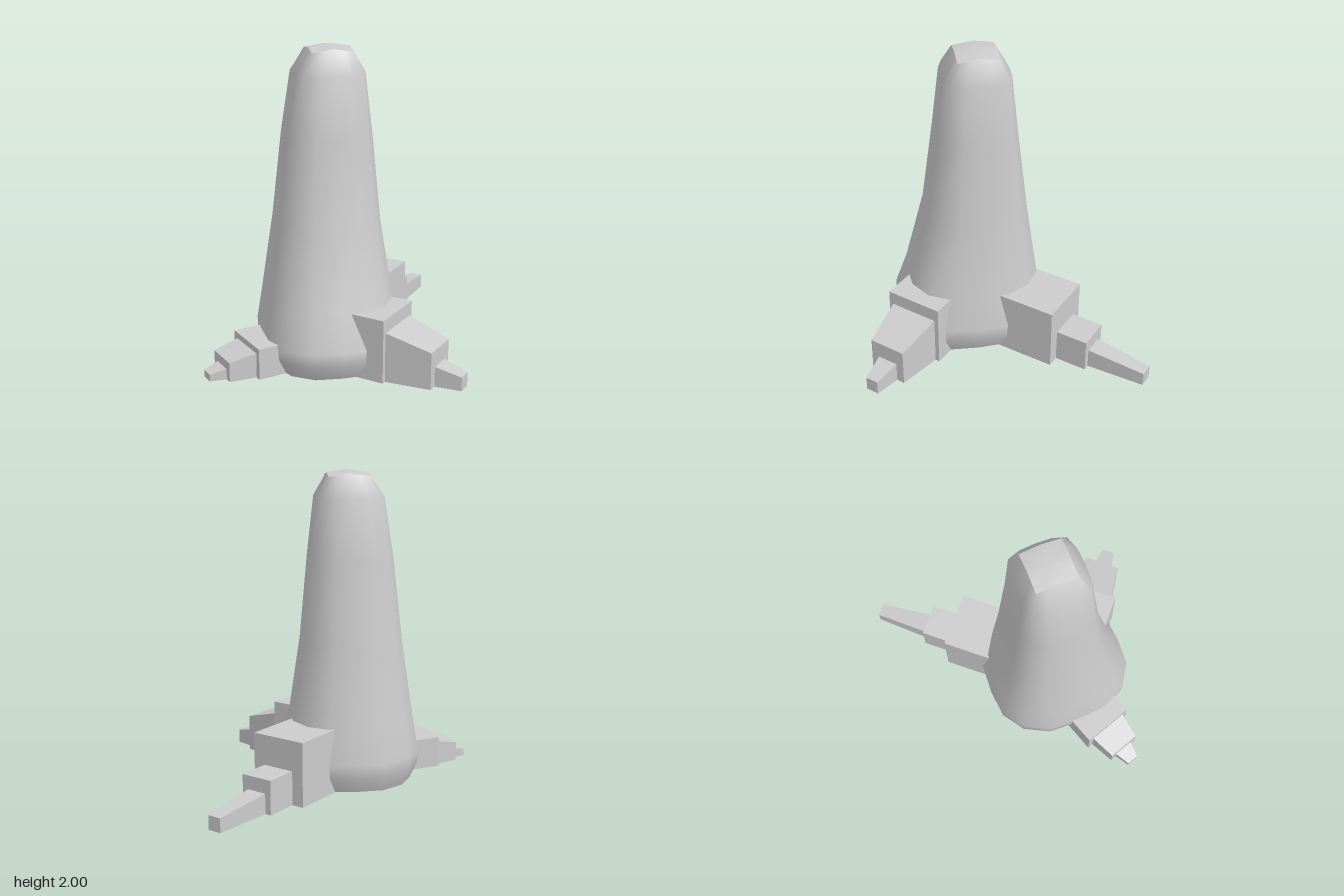
import * as THREE from 'three';

const material = new THREE.MeshStandardMaterial({ color: 0xcccccc });

// One eighth of a ring, as a rounded outline and as a square one
const ROUND = [[1, 0], [0.97, 0.43], [0.77, 0.77], [0.43, 0.97]];
const SQUARE = [[1, 0], [1, 0.5], [1, 1], [0.5, 1]];
const SIDES = 16;

// Trunk rings: y, min x, max x, min z, max z, squareness, drop at corners
const RINGS = [
  [0, -0.44, 0.34, -0.31, 0.56, 0, 0],
  [0.1, -0.485, 0.385, -0.355, 0.61, 0, 0],
  [0.19, -0.49, 0.39, -0.36, 0.615, 0, 0],
  [0.41, -0.455, 0.345, -0.315, 0.535, 0, 0],
  [0.9, -0.38, 0.275, -0.245, 0.41, 0.05, 0],
  [1.45, -0.32, 0.225, -0.18, 0.335, 0.12, 0],
  [1.83, -0.26, 0.18, -0.14, 0.29, 0.35, 0],
  [1.98, -0.16, 0.1, -0.06, 0.2, 1, 0.02],
];

function ringPoints([y, x0, x1, z0, z1, square, drop]) {
  const points = [];
  for (let i = 0; i < SIDES; i++) {
    const k = i % 4;
    let u = THREE.MathUtils.lerp(ROUND[k][0], SQUARE[k][0], square);
    let v = THREE.MathUtils.lerp(ROUND[k][1], SQUARE[k][1], square);
    for (let q = 0; q < Math.floor(i / 4); q++) [u, v] = [-v, u];
    const corner = Math.min(Math.abs(u), Math.abs(v));
    points.push(new THREE.Vector3(
      (x0 + x1) / 2 + u * (x1 - x0) / 2,
      y - drop * corner,
      (z0 + z1) / 2 + v * (z1 - z0) / 2));
  }
  return points;
}

function mesh(name, points, index) {
  const geometry = new THREE.BufferGeometry().setFromPoints(points);
  geometry.setIndex(index);
  geometry.computeVertexNormals();
  const m = new THREE.Mesh(geometry, material);
  m.name = name;
  return m;
}

// Smooth skin through all rings
function trunkSkin() {
  const index = [];
  for (let r = 0; r < RINGS.length - 1; r++) {
    for (let i = 0; i < SIDES; i++) {
      const j = (i + 1) % SIDES;
      const a = r * SIDES + i, b = r * SIDES + j;
      index.push(a, a + SIDES, b, b, a + SIDES, b + SIDES);
    }
  }
  return mesh('trunk', RINGS.flatMap(ringPoints), index);
}

// Fan closing one end of the trunk
function cap(name, ring, centreY, up) {
  const points = ringPoints(ring);
  const [, x0, x1, z0, z1] = ring;
  points.push(new THREE.Vector3((x0 + x1) / 2, centreY, (z0 + z1) / 2));
  const index = [];
  for (let i = 0; i < SIDES; i++) {
    const j = (i + 1) % SIDES;
    index.push(...(up ? [SIDES, j, i] : [SIDES, i, j]));
  }
  return mesh(name, points, index);
}

// Tapered block lying along +z from start to end, standing on y = 0
function rootBlock([start, end, w0, w1, h0, h1]) {
  const geometry = new THREE.BoxGeometry(1, 1, 1);
  const p = geometry.attributes.position;
  for (let i = 0; i < p.count; i++) {
    const far = p.getZ(i) > 0;
    p.setXYZ(i,
      p.getX(i) * (far ? w1 : w0),
      (p.getY(i) + 0.5) * (far ? h1 : h0),
      far ? end : start);
  }
  geometry.computeVertexNormals();
  return new THREE.Mesh(geometry, material);
}

// Roots: the origin is the outer end of the thick block;
// each block is [start, end, width, end width, height, end height]
const ROOTS = [
  { name: 'backRoot', at: [0.45, -0.425], dir: [0.667, -0.747], blocks: [
    [-0.5, 0, 0.375, 0.375, 0.41, 0.41],
    [-0.1, 0.21, 0.215, 0.215, 0.217, 0.217],
    [0.15, 0.59, 0.14, 0.09, 0.135, 0.09]] },
  { name: 'frontRoot', at: [0.3, 0.54], dir: [0.733, 0.68], blocks: [
    [-0.35, 0, 0.382, 0.382, 0.41, 0.41],
    [-0.01, 0.29, 0.328, 0.244, 0.325, 0.24],
    [0.25, 0.457, 0.15, 0.085, 0.14, 0.09]] },
  { name: 'rightRoot', at: [-0.607, 0.3], dir: [-0.953, 0.303], blocks: [
    [-0.4, 0, 0.346, 0.346, 0.2, 0.2],
    [-0.01, 0.171, 0.272, 0.217, 0.163, 0.125],
    [0.15, 0.273, 0.145, 0.08, 0.075, 0.045]] },
];

export function createModel() {
  const model = new THREE.Group();
  model.name = 'rootedStump';
  model.add(trunkSkin());
  model.add(cap('trunkTop', RINGS[RINGS.length - 1], 2, true));
  model.add(cap('trunkBase', RINGS[0], 0, false));

  for (const { name, at, dir, blocks } of ROOTS) {
    const root = new THREE.Group();
    root.name = name;
    root.position.set(at[0], 0, at[1]);
    root.rotation.y = Math.atan2(dir[0], dir[1]);
    blocks.forEach((block, i) => {
      const part = rootBlock(block);
      part.name = name + ['Base', 'Middle', 'Tip'][i];
      root.add(part);
    });
    model.add(root);
  }
  return model;
}
